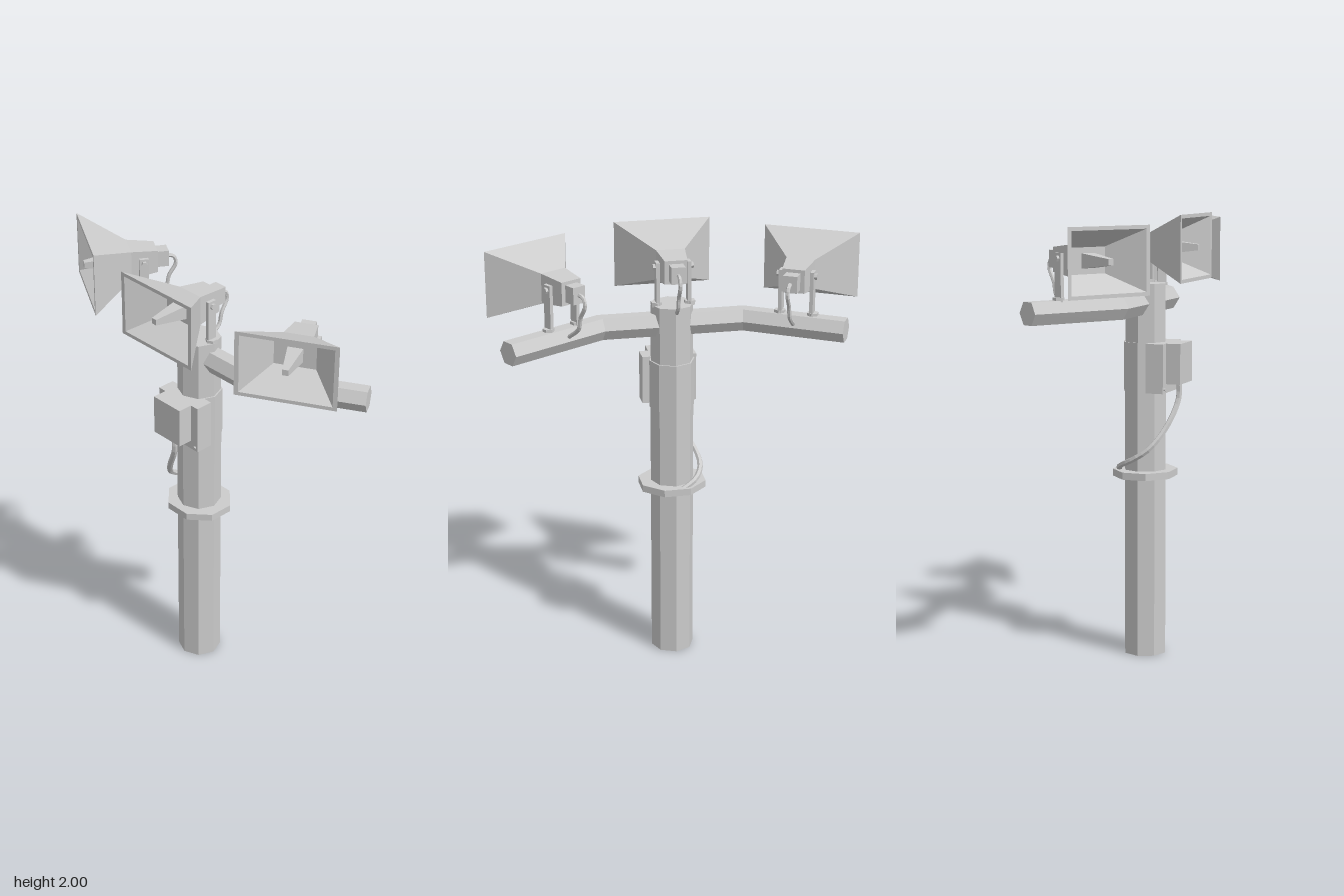
import * as THREE from 'three';

const material = new THREE.MeshStandardMaterial({ color: 0xcccccc, flatShading: true });

function add(parent, name, geometry, x = 0, y = 0, z = 0) {
  const mesh = new THREE.Mesh(geometry, material);
  mesh.name = name;
  mesh.position.set(x, y, z);
  parent.add(mesh);
  return mesh;
}

// Skin a list of rings (each counter-clockwise seen from the end it travels to) and cap both ends
function loft(rings) {
  const n = rings[0].length;
  const pos = [];
  const tri = (a, b, c) => pos.push(...a, ...b, ...c);
  for (let r = 0; r < rings.length - 1; r++) {
    const a = rings[r], b = rings[r + 1];
    for (let i = 0; i < n; i++) {
      const j = (i + 1) % n;
      tri(a[i], a[j], b[j]);
      tri(a[i], b[j], b[i]);
    }
  }
  const first = rings[0], last = rings[rings.length - 1];
  for (let i = 1; i < n - 1; i++) {
    tri(first[0], first[i + 1], first[i]);
    tri(last[0], last[i], last[i + 1]);
  }
  const g = new THREE.BufferGeometry();
  g.setAttribute('position', new THREE.Float32BufferAttribute(pos, 3));
  g.computeVertexNormals();
  return g;
}

// Rectangular ring facing +z
const rect = ([z, w, h]) => [[-w, -h, z], [w, -h, z], [w, h, z], [-w, h, z]];

function cable(points, radius) {
  const curve = new THREE.CatmullRomCurve3(points.map(p => new THREE.Vector3(...p)));
  return new THREE.TubeGeometry(curve, 20, radius, 6);
}

// Horn speaker on its bracket; local origin is the pivot between the posts
function createHorn(name, footY) {
  const horn = new THREE.Group();
  horn.name = name;
  // Outer shell from rear to mouth, over the rim and back into the throat
  add(horn, 'hornShell', loft([
    [-0.068, 0.05, 0.052],
    [0.055, 0.064, 0.066],
    [0.248, 0.216, 0.147],
    [0.248, 0.197, 0.131],
    [0.105, 0.09, 0.056],
  ].map(rect)));
  add(horn, 'hornPlug', loft([[0.1, 0.034, 0.032], [0.258, 0.013, 0.013]].map(rect)));
  add(horn, 'driverBox', new THREE.BoxGeometry(0.062, 0.075, 0.06), 0, 0, -0.092);

  // Bracket posts with feet and pivot bolts
  for (const s of [-1, 1]) {
    add(horn, 'bracketPost', new THREE.BoxGeometry(0.016, 0.03 - footY, 0.042), s * 0.07, (0.03 + footY) / 2, 0);
    add(horn, 'bracketFoot', new THREE.CylinderGeometry(0.026, 0.026, 0.02, 6), s * 0.074, footY + 0.008, 0);
    const bolt = add(horn, 'pivotBolt', new THREE.CylinderGeometry(0.014, 0.014, 0.03, 6), s * 0.075, 0.008, 0);
    bolt.rotation.z = Math.PI / 2;
  }
  // Cable drooping from the driver to the support
  add(horn, 'hornCable', cable([
    [0, 0, -0.11], [0, -0.005, -0.148], [0, -0.04, -0.16],
    [0, -0.1, -0.128], [0, -0.15, -0.115], [0, -0.205, -0.045],
  ], 0.009));
  return horn;
}

export function createModel() {
  const model = new THREE.Group();
  model.name = 'loudspeakerPole';
  const px = 0.01, pz = 0.024;

  // Octagonal pole, box clamp and collar
  add(model, 'lowerPole', new THREE.CylinderGeometry(0.098, 0.098, 1.43, 8), px, 0.715, pz);
  add(model, 'upperPole', new THREE.CylinderGeometry(0.095, 0.095, 0.26, 8), px, 1.56, pz);
  add(model, 'boxClamp', new THREE.CylinderGeometry(0.102, 0.102, 0.22, 8), px, 1.32, pz);
  const collar = add(model, 'collar', new THREE.CylinderGeometry(0.157, 0.157, 0.032, 8, 1, false, Math.PI / 8), px, 0.836, pz);
  collar.scale.z = 0.92;

  // Bent hexagonal cross arm, mitred at the bends
  const arm = [[-0.708, -0.232, 31], [-0.31, 0.015, 15], [0.33, 0.015, -15], [0.76, -0.235, -30]];
  add(model, 'crossArm', loft(arm.map(([x, z, deg], k) => {
    const a = THREE.MathUtils.degToRad(deg);
    const mitre = k === 1 || k === 2 ? 1 / Math.cos(a) : 1;
    return Array.from({ length: 6 }, (_, i) => {
      const t = Math.PI / 6 + i * Math.PI / 3;
      const u = Math.sin(t) * 0.056 * mitre;
      return [x - u * Math.sin(a), 1.602 + Math.cos(t) * 0.056, z + u * Math.cos(a)];
    });
  })));

  // Control box on its backplate
  add(model, 'backplate', new THREE.BoxGeometry(0.245, 0.22, 0.08), 0.012, 1.32, 0.11);
  add(model, 'controlBox', new THREE.BoxGeometry(0.164, 0.18, 0.07), 0.012, 1.34, 0.182);
  for (const s of [-1, 1]) {
    const screw = add(model, 'plateScrew', new THREE.CylinderGeometry(0.006, 0.006, 0.01, 6), 0.012 + s * 0.108, 1.228, 0.152);
    screw.rotation.x = Math.PI / 2;
  }
  // Supply cable wrapping round the pole to the collar
  add(model, 'supplyCable', cable([
    [0.02, 1.27, 0.18], [0.02, 1.18, 0.18], [-0.045, 1.06, 0.148], [-0.11, 0.96, 0.085],
    [-0.118, 0.91, 0.01], [-0.08, 0.875, -0.062], [-0.02, 0.845, -0.09],
  ], 0.013));

  // Three horns fanned outwards
  const horns = [
    ['rightHorn', -0.517, 1.818, -0.109, -29.7, 1.645],
    ['centreHorn', 0.006, 1.852, 0.017, 0, 1.685],
    ['leftHorn', 0.509, 1.824, -0.088, 29.5, 1.645],
  ];
  for (const [name, x, y, z, deg, support] of horns) {
    const horn = createHorn(name, support - y);
    horn.position.set(x, y, z);
    horn.rotation.y = THREE.MathUtils.degToRad(deg);
    model.add(horn);
  }
  return model;
}
